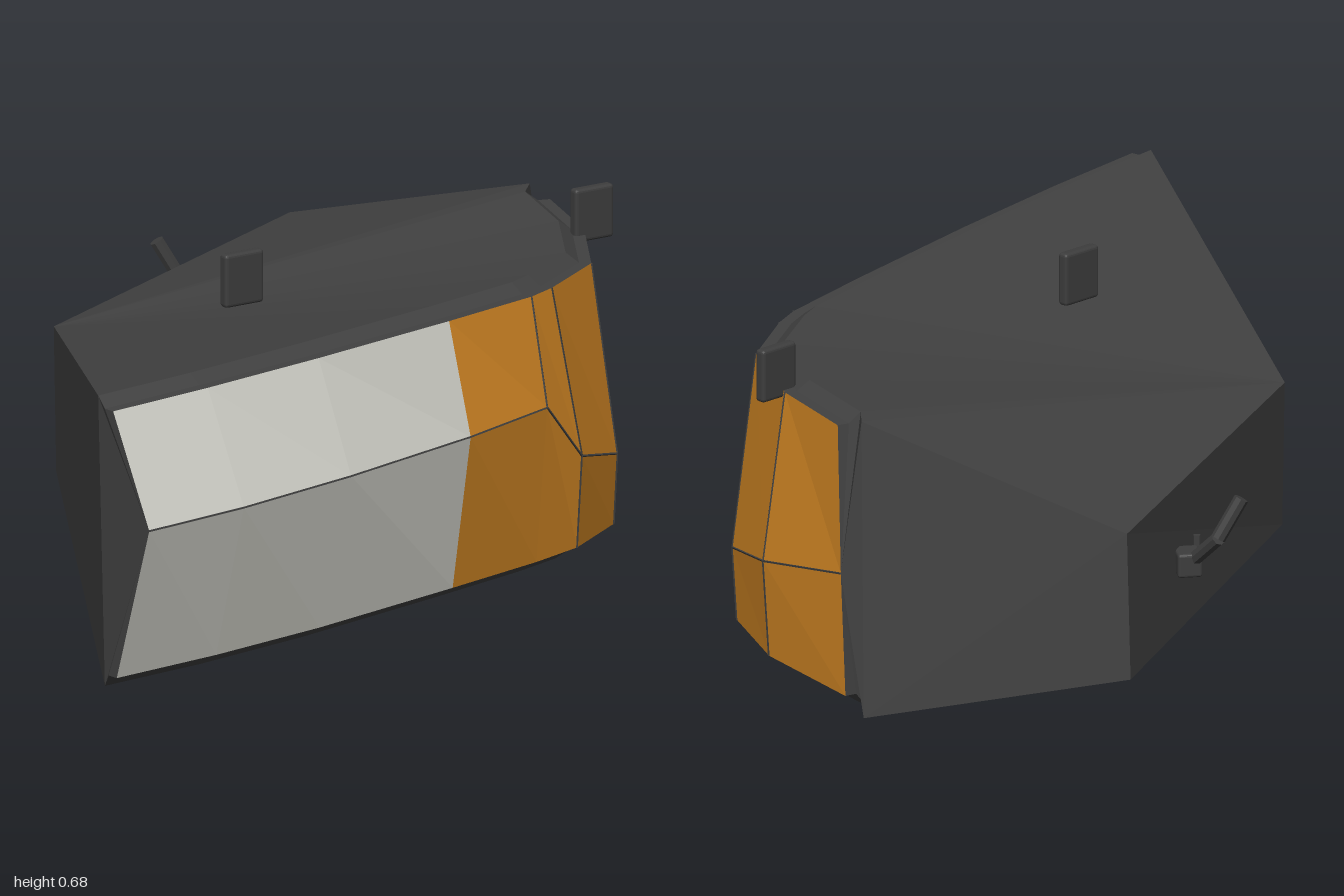
import * as THREE from 'three';
import { RoundedBoxGeometry } from 'three/addons/geometries/RoundedBoxGeometry.js';

const mat = (name, color, side = THREE.FrontSide) => {
  const m = new THREE.MeshStandardMaterial({ color, side, flatShading: true });
  m.name = name;
  return m;
};

// Lens sections from the front tip to the rear: x, z at the top, ridge and bottom, plus ridge height
const sections = [
  [-0.16, 0.94, -0.07, 1.0, 0.355, -0.15, 0.95],
  [-0.02, 0.73, 0.07, 0.79, 0.355, 0, 0.74],
  [0.14, 0.47, 0.22, 0.52, 0.355, 0.15, 0.5],
  [0.325, 0.15, 0.38, 0.19, 0.355, 0.335, 0.16],
  [0.44, -0.06, 0.475, -0.05, 0.355, 0.45, -0.06],
  [0.463, -0.13, 0.52, -0.15, 0.23, 0.502, -0.18],
  [0.495, -0.32, 0.54, -0.35, 0.18, 0.53, -0.36],
  [0.42, -0.55, 0.462, -0.57, 0.23, 0.45, -0.57],
  [0.3, -0.74, 0.29, -0.79, 0.285, 0.28, -0.8],
];
const V = (x, y, z) => new THREE.Vector3(x, y, z);
const top = sections.map(s => V(s[0], 0.58, s[1]));
const ridge = sections.map(s => V(s[2], s[4], s[3]));
const bottom = sections.map(s => V(s[5], 0.03, s[6]));
const end = sections.length - 1;

// Move a row horizontally inward by d, and set its height
function inset(row, d, y) {
  return row.map((p, i) => {
    const t = row[Math.min(i + 1, end)].clone().sub(row[Math.max(i - 1, 0)]);
    t.y = 0;
    t.normalize();
    return V(p.x + t.z * d, y, p.z - t.x * d);
  });
}

// Triangle helpers
const fan = (out, pts) => {
  for (let i = 1; i < pts.length - 1; i++) out.push(pts[0], pts[i], pts[i + 1]);
};
const strip = (out, rows, from, to) => {
  for (let r = 0; r < rows.length - 1; r++)
    for (let i = from; i < to; i++)
      fan(out, [rows[r][i], rows[r + 1][i], rows[r + 1][i + 1], rows[r][i + 1]]);
};
function surface(name, tris, material) {
  const g = new THREE.BufferGeometry().setFromPoints(tris);
  g.computeVertexNormals();
  const mesh = new THREE.Mesh(g, material);
  mesh.name = name;
  return mesh;
}

// Round bar between two points
function bar(name, a, b, radius, material, sides = 8) {
  const d = b.clone().sub(a);
  const mesh = new THREE.Mesh(new THREE.CylinderGeometry(radius, radius, d.length(), sides), material);
  mesh.position.copy(a).add(b).multiplyScalar(0.5);
  mesh.quaternion.setFromUnitVectors(V(0, 1, 0), d.normalize());
  mesh.name = name;
  return mesh;
}

export function createModel() {
  const model = new THREE.Group();
  model.name = 'cornerLamp';
  const housingMat = mat('housing dark grey', 0x414141, THREE.DoubleSide);
  const clipMat = mat('clip dark grey', 0x3d3d3d);
  const clearMat = mat('clear lens', 0xcfcfc7, THREE.DoubleSide);
  const amberMat = mat('amber lens', 0xd08524, THREE.DoubleSide);

  // Housing edges and the rims that meet the lens
  const upper = [inset(top, 0.052, 0.6), inset(top, 0.025, 0.58), top];
  const lower = [bottom, inset(bottom, 0.025, 0.03), inset(bottom, 0.05, 0)];
  const edgeTop = upper[0], edgeBottom = lower[2];
  edgeTop[0].set(-0.2, 0.6, 0.905);
  edgeBottom[0].set(-0.185, 0, 0.91);

  // Housing corners at the back and beside the rear end of the lens
  const sideTop = V(-0.54, 0.45, -0.045), sideBottom = V(-0.535, 0.15, -0.045);
  const rearTop = V(-0.295, 0.445, -0.965), rearBottom = V(-0.305, 0.15, -1.0);
  const endTop = V(0.25, 0.6, -0.772), endBottom = V(0.24, 0, -0.845);

  // Housing shell: rims, tapered top and bottom, three flat walls
  const shell = [];
  strip(shell, upper, 0, end);
  strip(shell, lower, 0, end);
  fan(shell, [sideTop, ...edgeTop, endTop, rearTop]);
  fan(shell, [sideBottom, rearBottom, endBottom, ...edgeBottom.slice().reverse()]);
  fan(shell, [rearTop, rearBottom, sideBottom, sideTop]);
  fan(shell, [sideTop, sideBottom, edgeBottom[0], edgeTop[0]]);
  fan(shell, [rearTop, endTop, endBottom, rearBottom]);

  // Narrow end faces between the straight housing edges and the bent lens ends
  fan(shell, [ridge[0], top[0], upper[1][0], edgeTop[0], edgeBottom[0], lower[1][0], bottom[0]]);
  fan(shell, [ridge[end], bottom[end], lower[1][end], edgeBottom[end], endBottom,
    endTop, edgeTop[end], upper[1][end], top[end]]);
  model.add(surface('housing', shell, housingMat));

  // Lens panels
  const lens = (name, from, to, material) => {
    const tris = [];
    strip(tris, [top, ridge, bottom], from, to);
    model.add(surface(name, tris, material));
  };
  lens('clearLens', 0, 3, clearMat);
  lens('amberLens', 3, end, amberMat);

  // Fine seams along the ridge and between the amber facets
  const seams = new THREE.Group();
  seams.name = 'lensSeams';
  for (let i = 0; i < end; i++) {
    seams.add(bar('ridgeSeam', ridge[i], ridge[i + 1], 0.0025, housingMat, 4));
    if (i > 3) seams.add(bar('upperSeam', top[i], ridge[i], 0.0025, housingMat, 4));
    if (i > 4) seams.add(bar('lowerSeam', ridge[i], bottom[i], 0.0025, housingMat, 4));
  }
  model.add(seams);

  // Upright mounting tabs
  for (const [x, z] of [[-0.118, 0.088], [0.439, -0.538]]) {
    const tab = new THREE.Mesh(new RoundedBoxGeometry(0.092, 0.11, 0.024, 2, 0.007), clipMat);
    tab.position.set(x, 0.62, z);
    tab.rotation.y = 0.84;
    tab.name = 'mountingTab';
    model.add(tab);
  }

  // Bent wire clip on the back wall
  const clip = new THREE.Group();
  clip.name = 'backClip';
  const base = new THREE.Mesh(new RoundedBoxGeometry(0.05, 0.05, 0.06, 2, 0.006), clipMat);
  base.position.set(-0.395, 0.29, -0.68);
  base.rotation.y = 0.25;
  base.name = 'clipBase';
  const bend = V(-0.46, 0.36, -0.735);
  clip.add(base,
    bar('clipArm', V(-0.4, 0.29, -0.685), bend, 0.015, clipMat),
    bar('clipTip', bend, V(-0.505, 0.44, -0.72), 0.015, clipMat),
    bar('clipHook', V(-0.405, 0.25, -0.58), V(-0.405, 0.31, -0.575), 0.008, clipMat));
  model.add(clip);

  return model;
}
